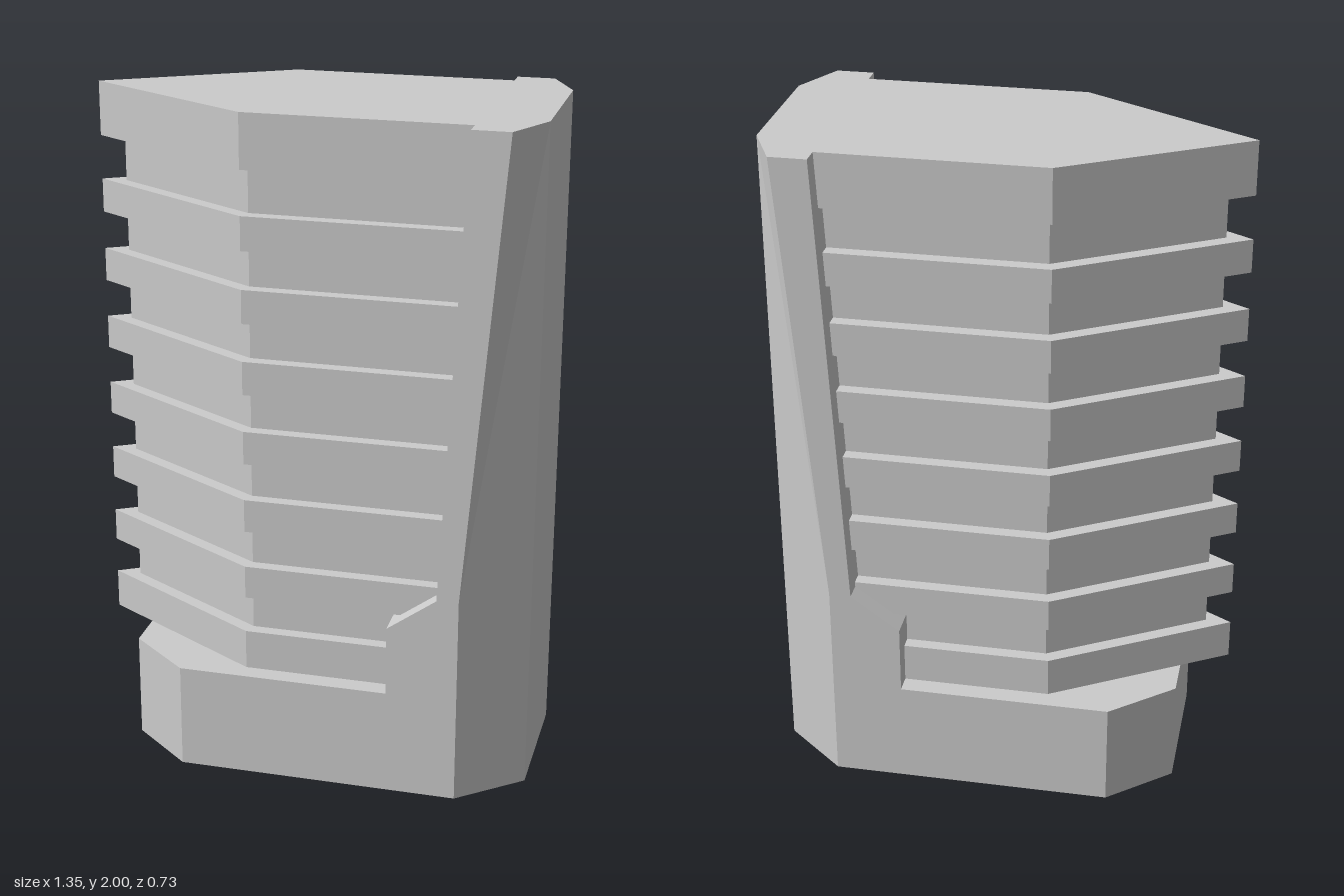
import * as THREE from 'three';

const grey = new THREE.MeshStandardMaterial({ color: 0xcccccc, flatShading: true, side: THREE.DoubleSide });

// Plan outline (x, z), mirrored across z = 0 and extruded from y0 to y1
function slab(name, half, y0, y1) {
  const mirrored = half.filter(p => p[1] > 0).reverse().map(([x, z]) => [x, -z]);
  const shape = new THREE.Shape([...half, ...mirrored].map(p => new THREE.Vector2(...p)));
  const geo = new THREE.ExtrudeGeometry(shape, { depth: y1 - y0, bevelEnabled: false });
  geo.rotateX(-Math.PI / 2).translate(0, y0, 0);
  return named(name, geo);
}

function named(name, geo) {
  const mesh = new THREE.Mesh(geo, grey);
  mesh.name = name;
  return mesh;
}

// Thin surface from convex polygons, each split as a fan
function panels(name, polygons) {
  const pos = [];
  for (const p of polygons)
    for (let i = 1; i < p.length - 1; i++) pos.push(...p[0], ...p[i], ...p[i + 1]);
  const geo = new THREE.BufferGeometry();
  geo.setAttribute('position', new THREE.Float32BufferAttribute(pos, 3));
  geo.computeVertexNormals();
  return named(name, geo);
}

const H = 2, LID = 0.32, W = 0.365, N = 0.21;   // height, base height, half width, narrow half width
const BACK = 0.675, NOSE = -0.535, SHOULDER = -0.35;

// One half (z > 0) of the hollow base and the spine that grows out of it
function createHalf() {
  const half = new THREE.Group();
  half.name = 'housingHalf';

  // Flat side: base wall running up into the tapering spine flank
  const edge = [[0.28, LID], [0.28, 0.53], [0.425, 0.635], [0.49, H]];
  const outline = [[SHOULDER, 0], [0.49, 0], [0.49, 0.635], [0.6, H], ...[...edge].reverse(), [SHOULDER, LID]];
  const side = new THREE.ShapeGeometry(new THREE.Shape(outline.map(p => new THREE.Vector2(...p))));
  half.add(named('sidePanel', side.translate(0, 0, W)));

  // Step from the spine flank in to the ribbed body
  const inner = 0.25;
  half.add(panels('spineStep', edge.slice(1).map(([x, y], i) => {
    const [px, py] = edge[i];
    return [[px, py, W], [x, y, W], [x, y, inner], [px, py, inner]];
  })));

  // Spine: bent corner facet, half of the end face, and top
  half.add(panels('spineFacets', [
    [[0.49, 0, W], [BACK, 0, N], [BACK, 0.635, N], [0.49, 0.635, W]],
    [[0.49, 0.635, W], [BACK, 0.635, N], [BACK, H, N], [0.6, H, W]],
    [[BACK, 0, N], [BACK, 0, 0], [BACK, H, 0], [BACK, H, N]],
    [[0.49, H, 0], [0.49, H, W], [0.6, H, W], [BACK, H, N], [BACK, H, 0]],
  ]));

  // Base: chamfered nose walls and lid; the underside stays open
  half.add(panels('baseNose', [
    [[NOSE, 0, N], [SHOULDER, 0, W], [SHOULDER, LID, W], [NOSE, LID, N]],
    [[NOSE, 0, 0], [NOSE, 0, N], [NOSE, LID, N], [NOSE, LID, 0]],
  ]));
  half.add(panels('baseLid', [
    [[NOSE, LID, 0], [NOSE, LID, N], [SHOULDER, LID, W], [0.28, LID, W], [0.28, LID, 0]],
  ]));
  return half;
}

export function createModel() {
  const model = new THREE.Group();
  model.name = 'ribbedWedgeHousing';

  const right = createHalf();
  const left = createHalf();
  left.scale.z = -1;
  model.add(right, left);

  // Pointed core, visible in the grooves
  model.add(slab('core', [[-0.6, 0], [-0.147, 0.27], [0.49, 0.27]], LID, H));

  // Ribs around the core: tall top plate, evenly spaced ribs, thicker lowest rib
  const ribPlan = [[-0.675, 0], [-0.16, 0.308]];
  const addRib = (name, y0, y1) => {
    // the back end follows the slanted step so it stays inside the spine
    const end = y0 < 0.6 ? 0.44 : 0.49;
    model.add(slab(name, [...ribPlan, [end, 0.308]], y0, y1));
  };
  addRib('topPlate', 1.84, H);
  for (let i = 0; i < 6; i++) {
    const top = 1.71 - i * 0.212;
    addRib('rib', top - 0.1, top);
  }
  addRib('lowestRib', LID, 0.44);
  return model;
}
